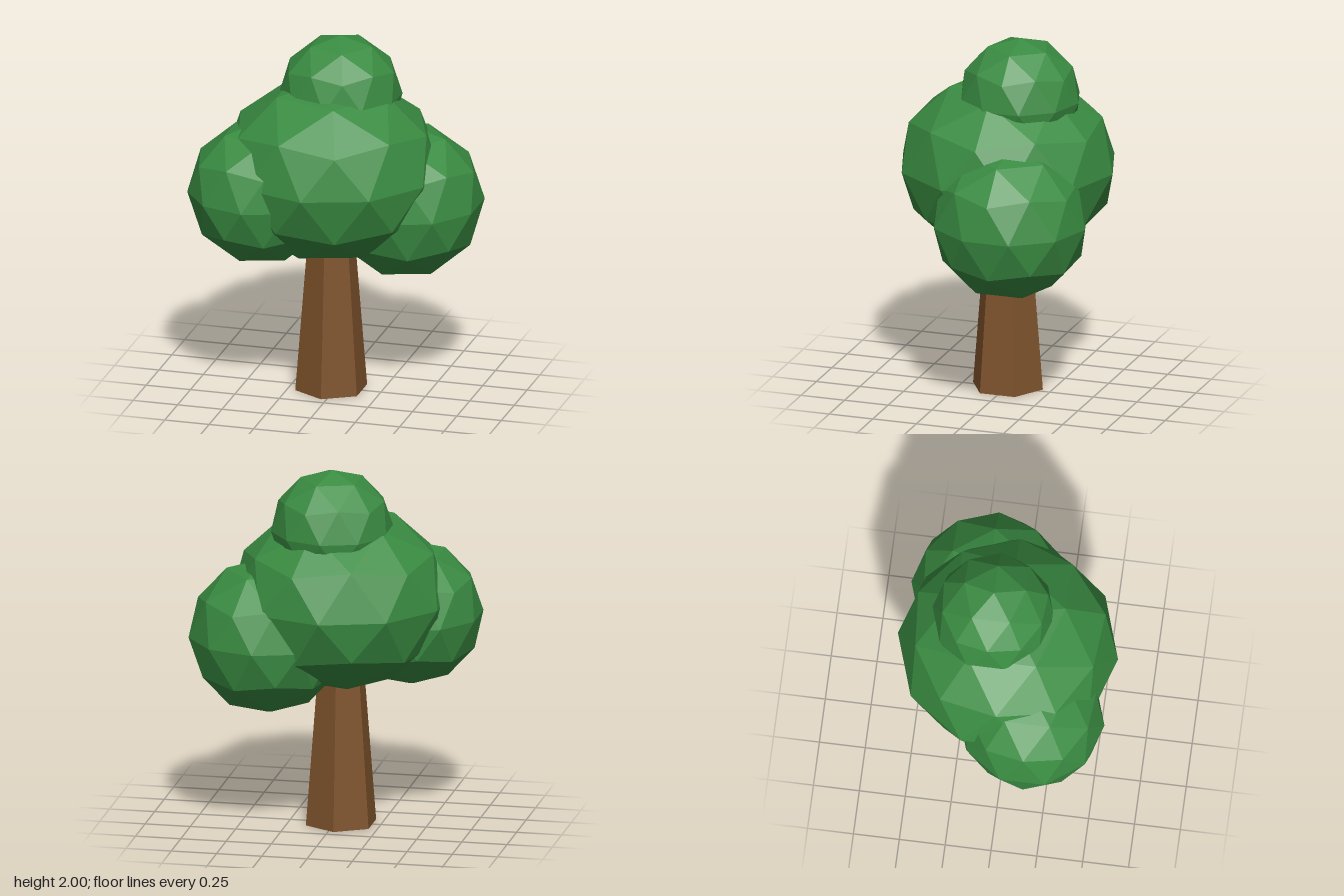
import * as THREE from 'three';

// Faceted foliage ball with a five-fold vertex at its top and bottom
function foliageBall(name, material, position, scale) {
  const geometry = new THREE.IcosahedronGeometry(1, 1);
  geometry.rotateX(-Math.atan((1 + Math.sqrt(5)) / 2));
  geometry.rotateY(Math.PI / 2);
  geometry.scale(...scale);
  const mesh = new THREE.Mesh(geometry, material);
  mesh.name = name;
  mesh.position.set(...position);
  return mesh;
}

export function createModel() {
  const bark = new THREE.MeshStandardMaterial({ color: 0x7e532c, flatShading: true });
  bark.name = 'bark brown';
  const leaf = new THREE.MeshStandardMaterial({ color: 0x3a8c42, flatShading: true });
  leaf.name = 'leaf green';

  const tree = new THREE.Group();
  tree.name = 'tree';

  // Tapered six-sided trunk, its top buried in the foliage
  const trunk = new THREE.Mesh(new THREE.CylinderGeometry(0.12, 0.2, 1, 6), bark);
  trunk.name = 'trunk';
  trunk.position.set(-0.03, 0.5, 0);
  tree.add(trunk);

  // Overlapping foliage: flattened centre, two sides and a crown
  tree.add(
    foliageBall('centreFoliage', leaf, [-0.03, 1.27, 0], [0.6, 0.51, 0.6]),
    foliageBall('leftFoliage', leaf, [0.345, 1.07, -0.145], [0.43, 0.43, 0.43]),
    foliageBall('rightFoliage', leaf, [-0.375, 1.155, 0.17], [0.4, 0.4, 0.4]),
    foliageBall('crownFoliage', leaf, [0, 1.665, -0.08], [0.335, 0.335, 0.335]),
  );
  return tree;
}
